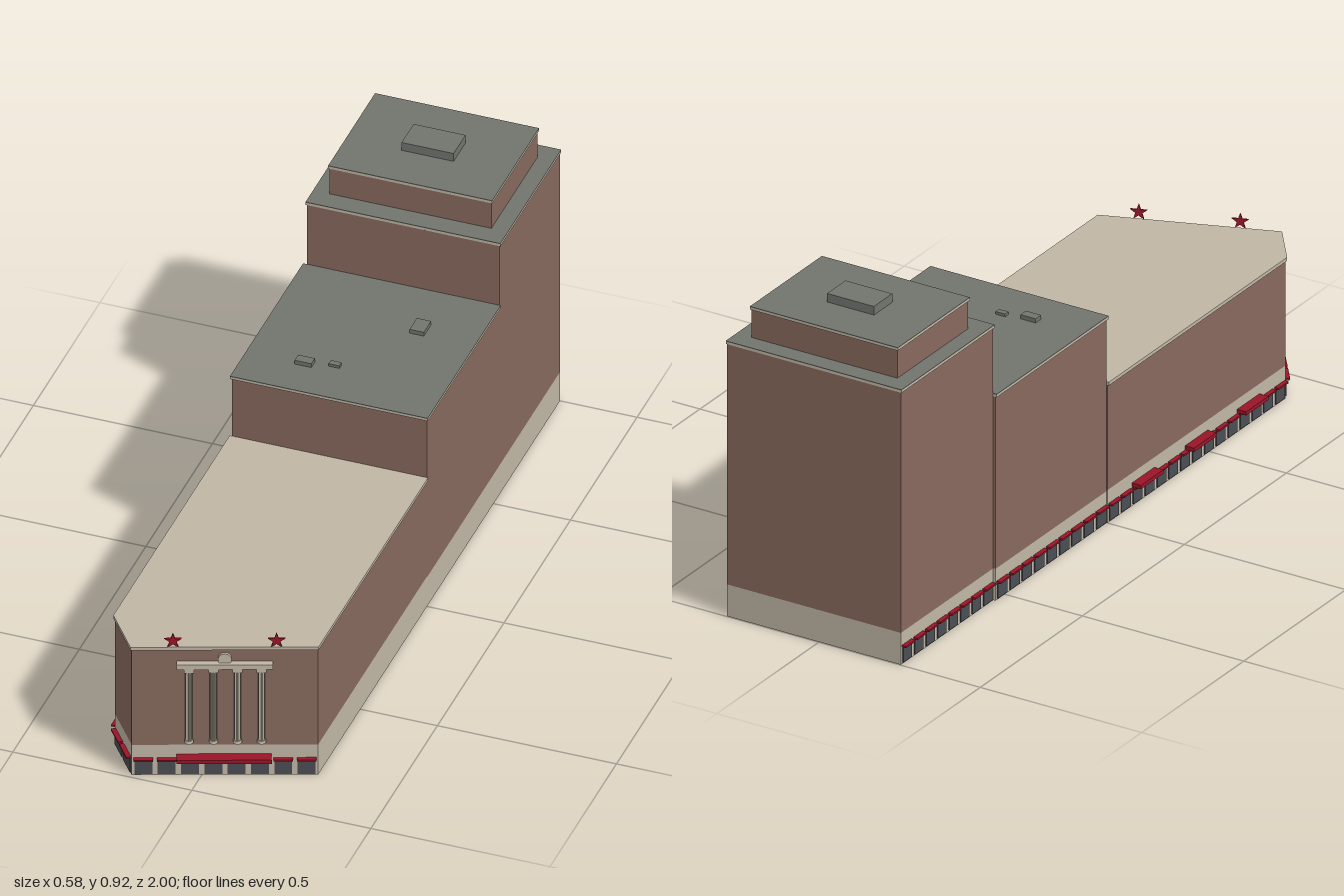
import * as THREE from 'three';

const mat = (name, color, side = THREE.FrontSide) => {
  const m = new THREE.MeshStandardMaterial({ color, side });
  m.name = name;
  return m;
};

export function createModel() {
  const root = new THREE.Group();
  root.name = 'steppedBuilding';
  const brick = mat('brick', 0x87695d, THREE.DoubleSide);
  const stone = mat('stone', 0xc0b6a5, THREE.DoubleSide);
  const roofGrey = mat('roofGrey', 0x72746d);
  const red = mat('red', 0x9a1528);
  const glass = mat('glass', 0x4a4d54);

  const add = (parent, name, geo, material, x = 0, y = 0, z = 0) => {
    const m = new THREE.Mesh(geo, material);
    m.name = name;
    m.position.set(x, y, z);
    parent.add(m);
    return m;
  };
  // box given by its limits
  const box = (parent, name, material, x0, x1, y0, y1, z0, z1) =>
    add(parent, name, new THREE.BoxGeometry(x1 - x0, y1 - y0, z1 - z0), material,
      (x0 + x1) / 2, (y0 + y1) / 2, (z0 + z1) / 2);
  // [x, z] corners, each plan running the same way round
  const rect = (x0, x1, z0, z1) => [[x1, z0], [x1, z1], [x0, z1], [x0, z0]];
  // upright walls along a plan, open above and below
  const walls = (name, material, plan, y0, y1) => {
    const pos = [];
    plan.forEach(([ax, az], i) => {
      const [bx, bz] = plan[(i + 1) % plan.length];
      pos.push(ax, y0, az, ax, y1, az, bx, y1, bz, ax, y0, az, bx, y1, bz, bx, y0, bz);
    });
    const g = new THREE.BufferGeometry();
    g.setAttribute('position', new THREE.Float32BufferAttribute(pos, 3));
    g.computeVertexNormals();
    add(root, name, g, material);
  };
  // solid slab over a plan
  const slab = (name, material, plan, y0, y1) => {
    const shape = new THREE.Shape(plan.map(([x, z]) => new THREE.Vector2(x, -z)));
    const g = new THREE.ExtrudeGeometry(shape, { depth: y1 - y0, bevelEnabled: false });
    g.rotateX(-Math.PI / 2);
    add(root, name, g, material, 0, y0, 0);
  };
  // stone cornice with a grey roof sheet on it
  const cap = (name, x0, x1, y, z0, z1) => {
    box(root, name + 'Cornice', stone, x0, x1, y - 0.008, y - 0.001, z0, z1);
    box(root, name + 'Roof', roofGrey, x0, x1, y - 0.001, y + 0.001, z0, z1);
  };

  // tower at the back, with its setback storey
  const towerPlan = rect(-0.253, 0.285, -0.998, -0.546);
  walls('towerBase', stone, towerPlan, 0, 0.093);
  walls('towerWalls', brick, towerPlan, 0.093, 0.796);
  cap('tower', -0.256, 0.288, 0.803, -1, -0.543);
  walls('setbackWalls', brick, rect(-0.21, 0.242, -0.947, -0.6), 0.8, 0.888);
  cap('setback', -0.213, 0.245, 0.894, -0.95, -0.597);
  box(root, 'towerPlantRoom', roofGrey, -0.057, 0.088, 0.893, 0.92, -0.82, -0.73);

  // middle block
  const middlePlan = rect(-0.26, 0.285, -0.545, -0.001);
  walls('middleBase', stone, middlePlan, 0, 0.093);
  walls('middleWalls', brick, middlePlan, 0.093, 0.597);
  cap('middle', -0.264, 0.288, 0.603, -0.546, 0.003);
  box(root, 'roofVent', roofGrey, 0.108, 0.148, 0.603, 0.616, -0.4, -0.345);
  box(root, 'roofVent', roofGrey, -0.125, -0.078, 0.603, 0.616, -0.135, -0.108);
  box(root, 'roofVent', roofGrey, -0.038, -0.008, 0.603, 0.612, -0.147, -0.13);

  // front block with a slanted facade and a cut corner, hollow below its floor
  const corner = [-0.172, 0.989], sideEnd = [-0.262, 0.872], rightEnd = [0.285, 0.817];
  const plan = [[0.285, 0], rightEnd, corner, sideEnd, [-0.262, 0]];
  const capPlan = [[0.288, 0], [0.288, 0.822], [-0.173, 0.996], [-0.266, 0.874], [-0.266, 0]];
  walls('frontBase', stone, plan, 0, 0.092);
  slab('frontFloor', stone, plan, 0.092, 0.096);
  walls('frontWalls', brick, plan, 0.096, 0.402);
  slab('frontCornice', stone, capPlan, 0.402, 0.412);

  // group whose x runs along a wall and whose z points outward
  const facade = (name, a, b) => {
    const g = new THREE.Group();
    g.name = name;
    g.position.set(a[0], 0, a[1]);
    g.rotation.y = Math.atan2(a[1] - b[1], b[0] - a[0]);
    root.add(g);
    g.userData.length = Math.hypot(b[0] - a[0], b[1] - a[1]);
    return g;
  };
  // shop windows between stone piers, each under a red awning
  const shops = (g, n, inner = 0) => {
    const w = g.userData.length / n;
    for (let i = 0; i < n; i++) {
      const x = i * w;
      box(g, 'shopWindow', glass, x + 0.007, x + w - 0.007, 0.004, 0.05, inner, 0.003);
      box(g, 'shopAwning', red, x + 0.005, x + w - 0.005, 0.05, 0.055, inner, 0.013);
    }
  };
  const front = facade('frontFacade', corner, rightEnd);
  const cut = facade('cornerFacade', sideEnd, corner);
  const side = facade('frontSideFacade', [-0.262, 0], sideEnd);
  const middle = facade('middleSideFacade', [-0.26, -0.545], [-0.26, 0]);
  const tower = facade('towerSideFacade', [-0.253, -0.998], [-0.253, -0.546]);
  shops(front, 8);
  shops(cut, 2);
  shops(side, 15);
  shops(middle, 9, -0.003);
  shops(tower, 8);

  // large canopies
  for (const z of [0.12, 0.38, 0.635]) {
    box(side, 'sideCanopy', red, z, z + 0.11, 0.056, 0.067, 0, 0.028);
  }
  const k = front.userData.length / (rightEnd[0] - corner[0]);
  const along = (x) => (x - corner[0]) * k;
  box(front, 'frontCanopy', red, along(-0.062), along(0.171), 0.055, 0.067, 0, 0.03);

  // fluted shaft
  const flutes = new THREE.Shape();
  for (let i = 0; i < 24; i++) {
    const r = i % 2 ? 0.0078 : 0.0095, a = (i * Math.PI) / 12;
    flutes[i ? 'lineTo' : 'moveTo'](r * Math.cos(a), r * Math.sin(a));
  }
  flutes.closePath();
  const shaft = new THREE.ExtrudeGeometry(flutes, { depth: 0.217, bevelEnabled: false });
  shaft.rotateX(-Math.PI / 2);

  // colonnade: columns, entablature and round crest
  for (const x of [-0.032, 0.028, 0.087, 0.146]) {
    const cx = along(x), z = 0.009;
    add(front, 'columnShaft', shaft, stone, cx, 0.12, z);
    add(front, 'columnFoot', new THREE.CylinderGeometry(0.011, 0.012, 0.009, 16), stone, cx, 0.1155, z);
    box(front, 'columnHead', stone, cx - 0.013, cx + 0.013, 0.337, 0.348, 0, 0.018);
  }
  box(front, 'entablature', stone, along(-0.062), along(0.174), 0.348, 0.363, 0, 0.018);
  const crest = new THREE.CylinderGeometry(0.018, 0.018, 0.008, 24);
  crest.rotateX(Math.PI / 2);
  add(front, 'crest', crest, stone, along(0.056), 0.373, 0.004);

  // five-pointed stars on the parapet
  const star = new THREE.Shape();
  for (let i = 0; i < 10; i++) {
    const r = i % 2 ? 0.0095 : 0.024, a = Math.PI / 2 + (i * Math.PI) / 5;
    star[i ? 'lineTo' : 'moveTo'](r * Math.cos(a), r * Math.sin(a));
  }
  star.closePath();
  const starGeo = new THREE.ExtrudeGeometry(star, { depth: 0.005, bevelEnabled: false });
  for (const x of [-0.071, 0.183]) add(front, 'star', starGeo, red, along(x), 0.432, 0.002);

  return root;
}
